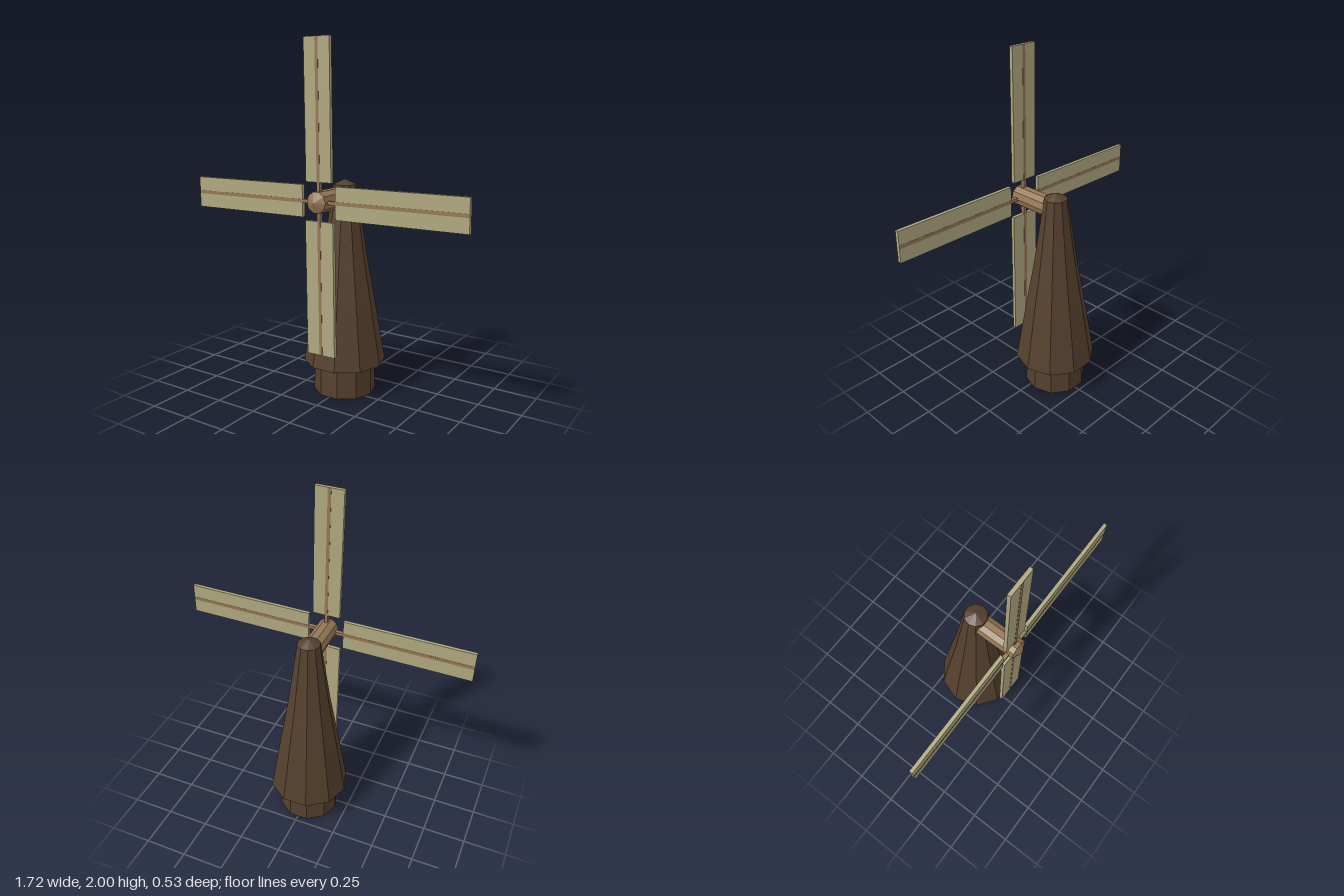
import * as THREE from 'three';

const SIDES = 10;
const HUB = new THREE.Vector3(-0.003, 1.142, 0);
const SAIL_Z = 0.206;

function material(color) {
  return new THREE.MeshStandardMaterial({ color, flatShading: true });
}

function part(name, geometry, mat) {
  const mesh = new THREE.Mesh(geometry, mat);
  mesh.name = name;
  return mesh;
}

// Faceted solid of revolution from [radius, height] pairs, listed bottom to top
function lathe(profile) {
  const points = profile.map(([r, y]) => new THREE.Vector2(r, y));
  return new THREE.LatheGeometry(points, SIDES, Math.PI / SIDES);
}

export function createModel() {
  const model = new THREE.Group();
  model.name = 'windmill';
  const darkWood = material(0x55402d);
  const lightWood = material(0x967855);
  const cloth = material(0xb0a880);

  // Plinth and tapering tower with a shallow pointed cap
  const body = new THREE.Group();
  body.name = 'body';
  body.position.set(-0.004, 0, -0.045);
  body.add(
    part('base', lathe([[0, 0], [0.179, 0], [0.173, 0.19]]), darkWood),
    part('tower', lathe([[0, 0.18], [0.235, 0.18], [0.174, 0.54], [0.127, 0.8], [0.066, 1.21]]), darkWood),
    part('towerCap', lathe([[0.066, 1.21], [0, 1.24]]), darkWood),
  );
  model.add(body);

  // Axle running forward from the tower, ending in a pointed nose
  const axle = part('axle', lathe([[0, -0.06], [0.06, -0.06], [0.06, 0.24], [0, 0.266]]), lightWood);
  axle.rotation.x = Math.PI / 2;
  axle.position.copy(HUB);
  model.add(axle);

  // Four sails, turned a touch off the upright
  const rotor = new THREE.Group();
  rotor.name = 'rotor';
  rotor.position.set(HUB.x, HUB.y, SAIL_Z);
  rotor.rotation.z = 0.012;
  for (let i = 0; i < 4; i++) {
    const arm = new THREE.Group();
    arm.name = 'sailArm';
    arm.rotation.z = i * Math.PI / 2;
    const width = i === 0 ? 0.162 : 0.178;
    const sail = part('sail', new THREE.BoxGeometry(width, 0.753, 0.021), cloth);
    sail.position.y = 0.482;
    // The spar stands just proud of both sail faces
    const spar = part('spar', new THREE.BoxGeometry(0.019, 0.858, 0.0235), lightWood);
    spar.position.y = 0.429;
    arm.add(sail, spar);
    rotor.add(arm);
  }
  model.add(rotor);

  return model;
}
